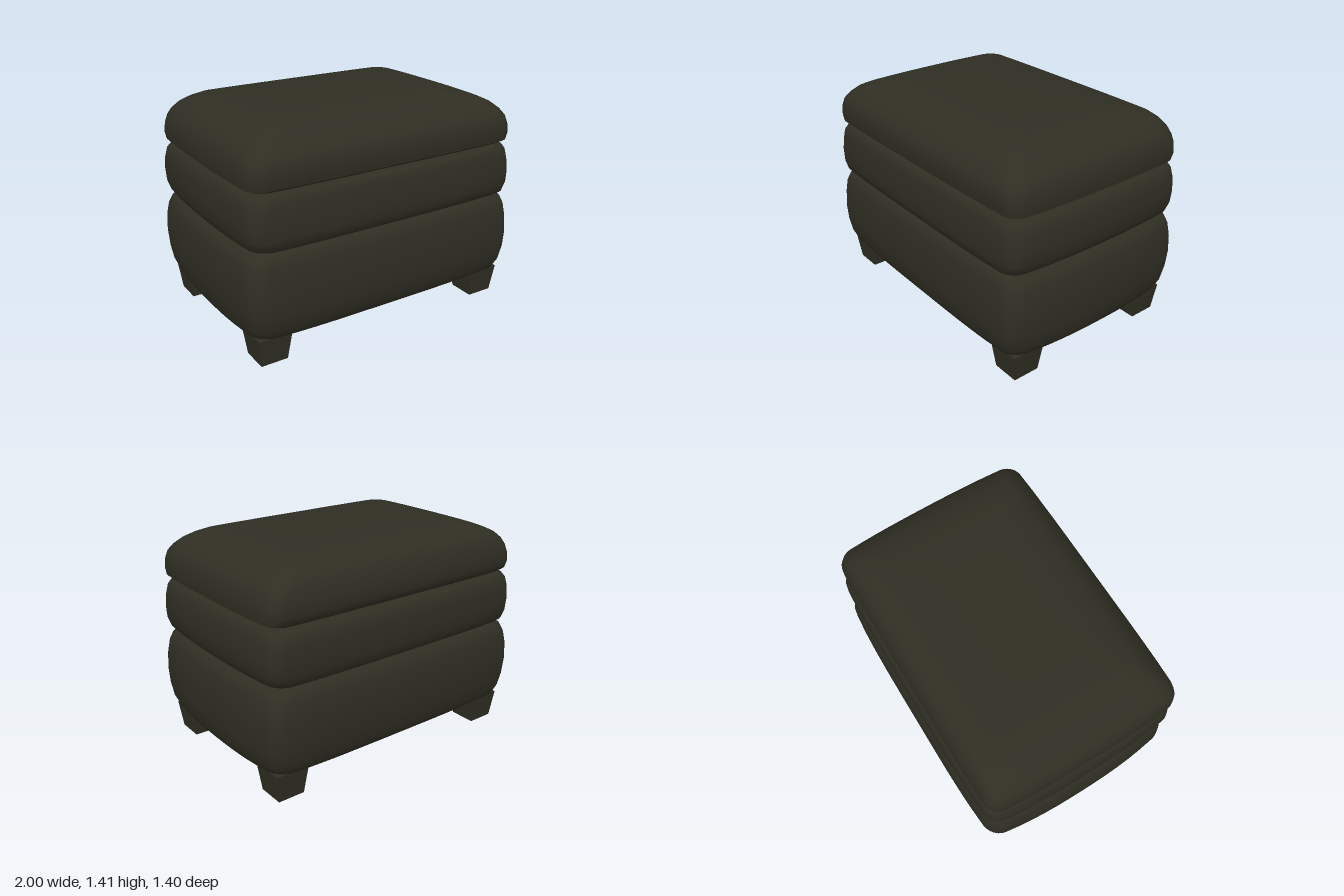
import * as THREE from 'three';
import { mergeVertices, toCreasedNormals } from 'three/addons/utils/BufferGeometryUtils.js';

// Outline of a cushion at one height: rounded rectangle with softly bowed sides.
function outline(hx, hzFront, hzBack, radius, bow) {
  const pts = [];
  const hz = (hzFront + hzBack) / 2, shift = (hzFront - hzBack) / 2;
  const r = Math.min(radius, hx * 0.5, hz * 0.5);
  const arc = 6, side = 12;
  const corners = [[1, 1, 0], [-1, 1, 1], [-1, -1, 2], [1, -1, 3]];
  corners.forEach(([sx, sz, q], i) => {
    const cx = sx * (hx - r), cz = sz * (hz - r);
    let last;
    for (let k = 0; k <= arc; k++) {
      const a = (q + k / arc) * Math.PI / 2;
      last = [cx + r * Math.cos(a), cz + r * Math.sin(a)];
      pts.push(last);
    }
    const [nx, nz, nq] = corners[(i + 1) % 4];
    const a = nq * Math.PI / 2;
    const next = [nx * (hx - r) + r * Math.cos(a), nz * (hz - r) + r * Math.sin(a)];
    for (let k = 1; k < side; k++) {
      const t = k / side;
      pts.push([last[0] + (next[0] - last[0]) * t, last[1] + (next[1] - last[1]) * t]);
    }
  });
  return pts.map(([x, z]) => [
    x * (1 - bow * Math.pow(Math.abs(z / hz), 2.5)),
    z * (1 - bow * 0.8 * Math.pow(Math.abs(x / hx), 4)) + shift,
  ]);
}

// Skin a stack of outlines; each level is [y, halfWidth, frontDepth, backDepth].
function cushion(levels, radius, bow) {
  const pos = [], index = [];
  let n = 0;
  levels.forEach(([y, hx, zf, zb]) => {
    const ring = outline(hx, zf, zb, radius, bow);
    n = ring.length;
    ring.forEach(([x, z]) => pos.push(x, y, z));
  });
  for (let l = 0; l < levels.length - 1; l++) {
    for (let i = 0; i < n; i++) {
      const j = (i + 1) % n, a = l * n + i, b = l * n + j;
      index.push(a, a + n, b, b, a + n, b + n);
    }
  }
  // Close the underside and the top
  const low = pos.length / 3, high = low + 1, top = (levels.length - 1) * n;
  pos.push(0, levels[0][0], 0, 0, levels[levels.length - 1][0], 0);
  for (let i = 0; i < n; i++) {
    const j = (i + 1) % n;
    index.push(low, i, j, high, top + j, top + i);
  }
  const geo = new THREE.BufferGeometry();
  geo.setAttribute('position', new THREE.Float32BufferAttribute(pos, 3));
  geo.setIndex(index);
  return toCreasedNormals(mergeVertices(geo), 0.8);
}

export function createModel() {
  const group = new THREE.Group();
  const leather = new THREE.MeshStandardMaterial({ color: 0x2f2e23 });
  leather.name = 'dark olive leather';

  const add = (name, geometry) => {
    const mesh = new THREE.Mesh(geometry, leather);
    mesh.name = name;
    group.add(mesh);
    return mesh;
  };

  // Deep upholstered base
  add('base', cushion([
    [0.175, 0.93, 0.625, 0.625], [0.195, 0.955, 0.65, 0.65], [0.25, 0.98, 0.675, 0.67],
    [0.34, 0.994, 0.692, 0.688], [0.45, 1.0, 0.698, 0.698], [0.56, 0.995, 0.69, 0.695],
    [0.64, 0.98, 0.682, 0.685], [0.69, 0.96, 0.665, 0.665], [0.712, 0.93, 0.645, 0.64],
    [0.722, 0.87, 0.59, 0.59],
  ], 0.09, 0.055));

  // Middle cushion
  add('middleCushion', cushion([
    [0.718, 0.87, 0.59, 0.59], [0.726, 0.925, 0.64, 0.64], [0.745, 0.95, 0.665, 0.66],
    [0.8, 0.968, 0.677, 0.674], [0.88, 0.973, 0.678, 0.68], [0.96, 0.967, 0.67, 0.677],
    [1.02, 0.953, 0.663, 0.668], [1.048, 0.935, 0.65, 0.65], [1.06, 0.9, 0.62, 0.62],
    [1.064, 0.85, 0.57, 0.57],
  ], 0.09, 0.04));

  // Domed seat cushion, fuller towards the back edge
  add('seatCushion', cushion([
    [1.058, 0.85, 0.57, 0.57], [1.07, 0.91, 0.62, 0.62], [1.09, 0.945, 0.65, 0.645],
    [1.13, 0.95, 0.657, 0.657], [1.19, 0.944, 0.657, 0.656], [1.24, 0.93, 0.645, 0.645],
    [1.28, 0.905, 0.615, 0.632], [1.32, 0.86, 0.575, 0.61], [1.35, 0.8, 0.535, 0.58],
    [1.375, 0.74, 0.48, 0.53], [1.392, 0.65, 0.41, 0.39], [1.403, 0.52, 0.34, 0.24],
    [1.408, 0.35, 0.25, 0.14],
  ], 0.09, 0.025));

  // Four tapered block feet
  const foot = new THREE.CylinderGeometry(0.109 * Math.SQRT2, 0.087 * Math.SQRT2, 0.18, 4);
  foot.rotateY(Math.PI / 4);
  const footGeo = toCreasedNormals(foot, 0.5);
  for (const [sx, sideName] of [[1, 'Left'], [-1, 'Right']]) {
    for (const [sz, endName] of [[1, 'front'], [-1, 'back']]) {
      add(`${endName}${sideName}Foot`, footGeo).position.set(sx * 0.795, 0.09, sz * 0.497);
    }
  }
  return group;
}
